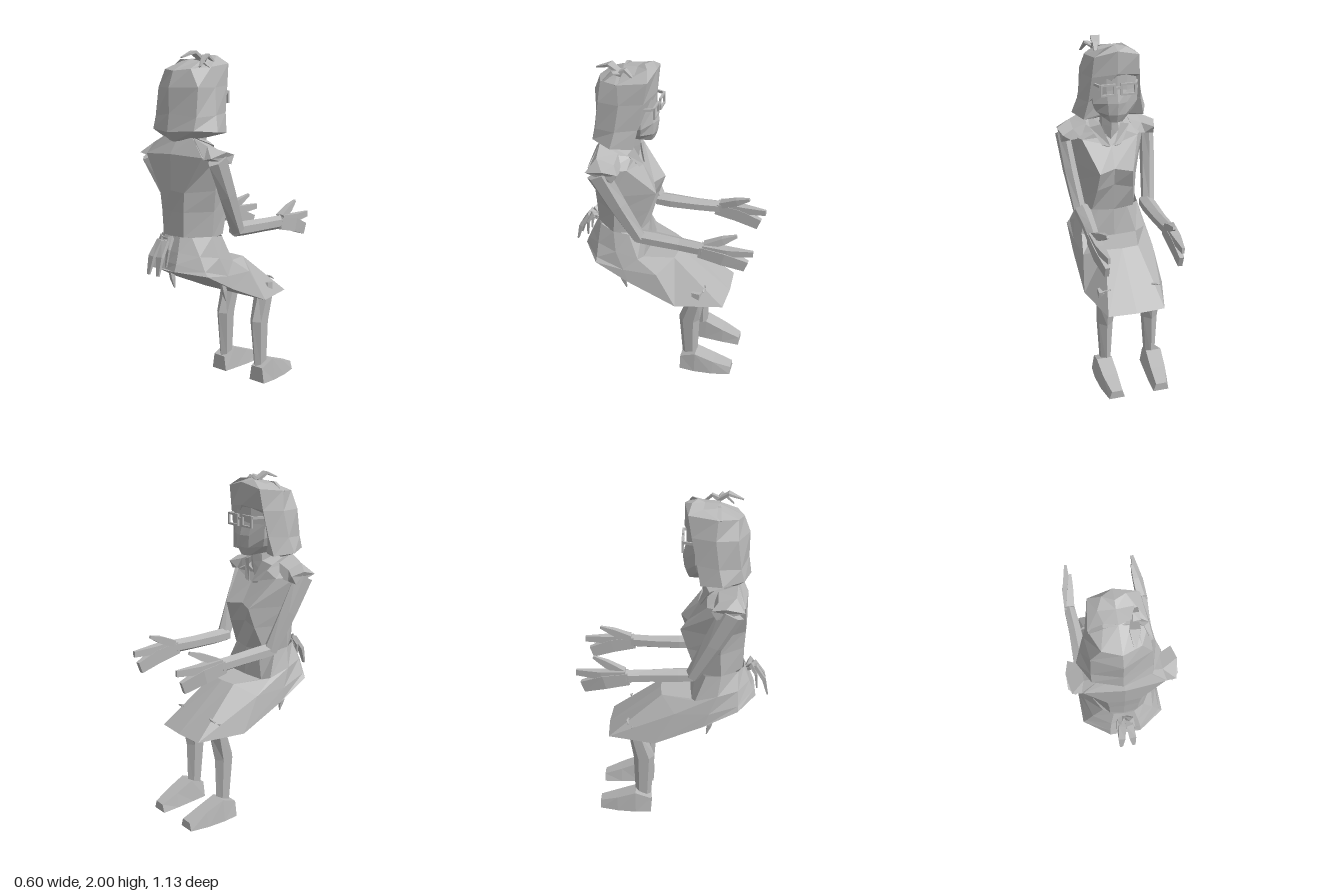
import * as THREE from 'three';

const grey = new THREE.MeshStandardMaterial({ color: 0xb6b6b6, flatShading: true, side: THREE.DoubleSide });
grey.name = 'plain grey';

// Skin a list of equal-length rings of [x, y, z], with fan caps; faces are turned outward.
function loft(rings, capped = true) {
  const n = rings[0].length, tris = [];
  const centre = r => [0, 1, 2].map(k => r.reduce((s, p) => s + p[k], 0) / n);
  for (let i = 0; i + 1 < rings.length; i++) {
    for (let j = 0; j < n; j++) {
      const k = (j + 1) % n, a = rings[i], b = rings[i + 1];
      tris.push([a[j], a[k], b[j]], [a[k], b[k], b[j]]);
    }
  }
  if (capped) {
    const first = rings[0], last = rings[rings.length - 1];
    const c0 = centre(first), c1 = centre(last);
    for (let j = 0; j < n; j++) {
      const k = (j + 1) % n;
      tris.push([first[k], first[j], c0], [last[j], last[k], c1]);
    }
  }
  let volume = 0;
  for (const [a, b, c] of tris) {
    volume += new THREE.Vector3(...a).dot(new THREE.Vector3(...b).cross(new THREE.Vector3(...c)));
  }
  if (volume < 0) tris.forEach(t => t.reverse());
  const geo = new THREE.BufferGeometry();
  geo.setAttribute('position', new THREE.Float32BufferAttribute(tris.flat(2), 3));
  geo.computeVertexNormals();
  return geo;
}

// Complete a half ring (back centre round the +x side to front centre) by mirroring.
const mirrorRing = h => [...h, ...h.slice(1, -1).reverse().map(([x, y, z]) => [-x, y, z])];
const body = (halves, capped) => loft(halves.map(mirrorRing), capped);

// Faceted limb along stations [x, y, z, half width, half depth].
function limb(path, sides = 6) {
  const pts = path.map(p => new THREE.Vector3(p[0], p[1], p[2]));
  return loft(path.map((p, i) => {
    const d = pts[Math.min(i + 1, pts.length - 1)].clone().sub(pts[Math.max(i - 1, 0)]).normalize();
    const u = new THREE.Vector3(1, 0, 0).addScaledVector(d, -d.x).normalize();
    const v = d.clone().cross(u);
    return Array.from({ length: sides }, (_, j) => {
      const a = (j + 0.5) / sides * Math.PI * 2;
      return pts[i].clone().addScaledVector(u, Math.cos(a) * p[3] * 1.12)
        .addScaledVector(v, Math.sin(a) * p[4] * 1.12).toArray();
    });
  }));
}

const quad = (x0, x1, y0, y1, z) => [[x0, y0, z], [x1, y0, z], [x1 - 0.015, y1, z], [x0 + 0.015, y1, z]];

export function createModel() {
  const model = new THREE.Group();
  model.name = 'seatedWoman';
  const add = (name, geo, parent = model) => {
    const m = new THREE.Mesh(geo, grey);
    m.name = name;
    parent.add(m);
    return m;
  };

  // Bodice from neckline to waist
  add('bodice', body([
    [[0, 1.52, .36], [.11, 1.53, .35], [.14, 1.48, .28], [.08, 1.45, .18], [0, 1.42, .17]],
    [[0, 1.44, .415], [.22, 1.43, .39], [.24, 1.42, .29], [.17, 1.41, .18], [0, 1.37, .14]],
    [[0, 1.24, .415], [.095, 1.23, .405], [.205, 1.24, .27], [.10, 1.24, .03], [0, 1.25, .07]],
    [[0, 1.12, .405], [.085, 1.12, .40], [.185, 1.12, .26], [.11, 1.12, .07], [0, 1.14, .09]],
    [[0, .98, .405], [.08, .98, .395], [.18, .97, .27], [.13, .97, .13], [0, .97, .10]],
  ]));

  // Skirt flaring over the hips and lap; the last ring closes the underside along its middle
  const hem = [[0, .80, .46], [.09, .80, .48], [.24, .775, .37], [.245, .67, .17], [.245, .545, -.12],
    [.17, .54, -.40], [0, .54, -.41]];
  add('skirt', body([
    [[0, .98, .41], [.06, .98, .405], [.12, .98, .37], [.18, .98, .27], [.17, .97, .18], [.09, .97, .12], [0, .97, .10]],
    [[0, .90, .43], [.08, .90, .44], [.18, .88, .37], [.215, .86, .25], [.20, .82, .12], [.14, .80, .10], [0, .80, .09]],
    [[0, .84, .45], [.09, .84, .465], [.22, .80, .37], [.235, .75, .20], [.22, .74, 0], [.10, .80, -.08], [0, .80, -.09]],
    hem,
    hem.map(([, y, z]) => [0, y, z]),
  ], false));

  // Neck and face
  add('neck', limb([[0, 1.40, .24, .07, .07], [0, 1.50, .21, .05, .055], [0, 1.62, .20, .05, .06]]));
  const head = new THREE.Group();
  head.name = 'head';
  head.position.x = -.012;
  model.add(head);
  add('face', body([
    [[0, 1.86, .25], [.13, 1.86, .20], [.13, 1.86, .11], [.06, 1.85, .07], [0, 1.85, .06]],
    [[0, 1.73, .25], [.14, 1.73, .20], [.135, 1.73, .11], [.06, 1.73, .07], [0, 1.74, .06]],
    [[0, 1.66, .25], [.13, 1.65, .20], [.13, 1.65, .11], [.055, 1.66, .06], [0, 1.66, .04]],
    [[0, 1.60, .25], [.11, 1.60, .21], [.11, 1.60, .12], [.05, 1.59, .06], [0, 1.59, .05]],
    [[0, 1.56, .24], [.06, 1.55, .20], [.06, 1.55, .14], [.035, 1.54, .08], [0, 1.54, .07]],
  ]), head);

  // Bobbed hair: full crown above, tucked behind the face below
  add('hair', body([
    [[0, 1.955, .24], [.07, 1.95, .22], [.09, 1.95, .15], [.06, 1.975, .09], [0, 1.98, .12]],
    [[0, 1.89, .375], [.10, 1.90, .34], [.15, 1.91, .23], [.13, 1.93, .07], [0, 1.96, .05]],
    [[0, 1.80, .41], [.155, 1.80, .34], [.17, 1.80, .22], [.14, 1.81, .09], [0, 1.83, .05]],
    [[0, 1.66, .41], [.16, 1.64, .36], [.195, 1.65, .24], [.155, 1.66, .12], [0, 1.70, .19]],
    [[0, 1.56, .425], [.16, 1.57, .38], [.225, 1.56, .26], [.18, 1.55, .14], [0, 1.56, .21]],
    [[0, 1.505, .38], [.10, 1.52, .34], [.14, 1.53, .25], [.12, 1.54, .17], [0, 1.53, .24]],
  ]), head);

  // Band over the crown, and a leafy hair bow
  add('hairBand', limb([[-.145, 1.905, .235, .006, .012], [-.075, 1.95, .235, .006, .012],
    [.075, 1.95, .235, .006, .012], [.145, 1.905, .235, .006, .012]], 4), head);
  const bow = [
    [[.08, 1.95, .23, .025, .012], [.07, 1.99, .29, .035, .01], [.06, 1.96, .37, .008, .004]],
    [[.09, 1.95, .23, .02, .012], [.13, 1.97, .26, .02, .01], [.15, 1.91, .32, .008, .004]],
    [[.09, 1.95, .24, .025, .015], [.09, 1.975, .20, .02, .01], [.10, 1.94, .16, .01, .006]],
  ];
  bow.forEach(p => add('hairBow', limb(p, 4), head));

  // Glasses
  for (const s of [-1, 1]) {
    const rim = new THREE.Shape([[-.045, -.035], [.045, -.035], [.045, .035], [-.045, .035]]
      .map(p => new THREE.Vector2(...p)));
    rim.holes.push(new THREE.Path([[-.034, -.024], [-.034, .024], [.034, .024], [.034, -.024]]
      .map(p => new THREE.Vector2(...p))));
    const g = add('glassesRim', new THREE.ExtrudeGeometry(rim, { depth: .012, bevelEnabled: false }), head);
    g.position.set(s * .06, 1.745, .035);
    const temple = add('glassesTemple', new THREE.BoxGeometry(.01, .015, .09), head);
    temple.position.set(s * .12, 1.77, .085);
    temple.rotation.y = s * .35;
  }
  add('glassesBridge', new THREE.BoxGeometry(.04, .012, .012), head).position.set(0, 1.755, .042);

  // Paired parts; s is the side
  for (const s of [-1, 1]) {
    const side = new THREE.Group();
    side.name = s > 0 ? 'leftSide' : 'rightSide';
    model.add(side);
    const on = (p) => p.map(([x, ...r]) => [x * s, ...r]);
    const part = (name, path, sides) => add(name, limb(on(path), sides), side);

    // Ruffled cap sleeve
    add('sleeve', loft([
      [[.12, 1.53, .35], [.13, 1.49, .24], [.17, 1.41, .21], [.17, 1.42, .39]],
      [[.21, 1.49, .34], [.21, 1.46, .24], [.23, 1.40, .22], [.23, 1.42, .385]],
      [[.30, 1.46, .28], [.28, 1.44, .20], [.285, 1.39, .23], [.28, 1.43, .385]],
    ].map(on)), side);
    // Collar lapel
    add('collar', loft([
      [[.06, 1.53, .29], [.11, 1.52, .30], [.08, 1.52, .26]],
      [[.06, 1.50, .17], [.12, 1.48, .19], [.09, 1.45, .19]],
      [[.01, 1.37, .13], [.06, 1.38, .14], [.03, 1.36, .15]],
    ].map(on)), side);

    // Straight upper arm meeting the forearm at a sharp elbow, then the hand
    part('upperArm', [[.262, 1.42, .315, .037, .065], [.243, 1.22, .215, .038, .055], [.215, 1.0, .10, .036, .038]]);
    part('forearm', [[.203, 1.0, .11, .042, .036], [.203, .998, .02, .044, .038],
      [.21, .995, -.14, .037, .036], [.222, .995, -.28, .033, .037]]);
    part('palm', [[.222, .99, -.26, .04, .045], [.222, .965, -.40, .036, .052], [.21, .92, -.53, .016, .044]], 4);
    part('finger', [[.222, 1.01, -.28, .036, .035], [.22, 1.005, -.42, .03, .03], [.208, 1.01, -.565, .01, .022]], 4);
    part('thumb', [[.215, 1.02, -.29, .03, .025], [.20, 1.065, -.39, .022, .026], [.188, 1.10, -.465, .009, .01]], 4);

    // Leg and shoe
    part('leg', [[.135, .62, -.235, .055, .04], [.138, .54, -.23, .053, .045], [.14, .38, -.19, .044, .058],
      [.143, .09, -.20, .029, .043]]);
    add('shoe', loft([quad(.10, .215, 0, .095, -.15), quad(.095, .22, 0, .135, -.245),
      quad(.09, .21, 0, .09, -.36), quad(.09, .185, 0, .05, -.47)].map(on)), side);

    // Skirt fold at the knee, sash end and rear bow tail
    part('kneeFold', [[.125, .645, -.28, .004, .006], [.148, .643, -.285, .006, .008], [.175, .635, -.28, .004, .005]], 4);
    part('sashEnd', [[.21, .72, .22, .01, .018], [.21, .66, .205, .012, .018], [.21, .60, .19, .003, .004]], 4);
    part('bowTail', [[.008, .94, .43, .014, .014], [.022, .96, .48, .026, .014],
      [.032, .88, .53, .026, .014], [.038, .78, .555, .012, .006]], 4);
    part('bowLoop', [[.005, .95, .43, .012, .014], [.035, .98, .45, .018, .016], [.045, .92, .48, .014, .01],
      [.035, .82, .49, .006, .006]], 4);
  }
  return model;
}
